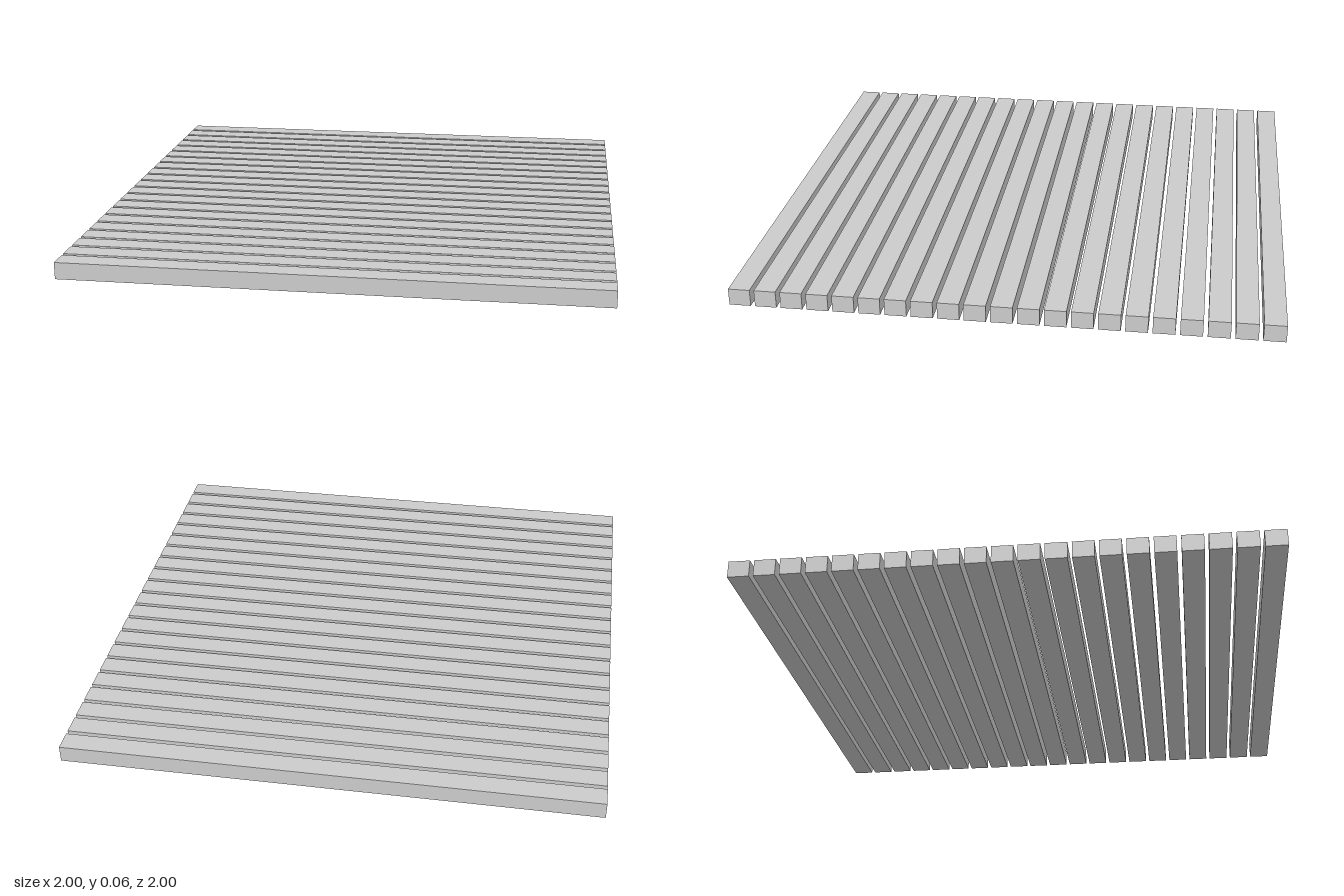
import * as THREE from 'three';

const COUNT = 21, LENGTH = 2, HEIGHT = 0.064, WIDTH = 0.08, PITCH = 0.096;

export function createModel() {
  const deck = new THREE.Group();
  deck.name = 'slattedDeck';
  const material = new THREE.MeshStandardMaterial({ color: 0xcccccc });
  const board = new THREE.BoxGeometry(LENGTH, HEIGHT, WIDTH);

  // Parallel slats along x, evenly spaced from back to front with narrow gaps
  for (let i = 0; i < COUNT; i++) {
    const slat = new THREE.Mesh(board, material);
    slat.name = `slat${i + 1}`;
    slat.position.set(0, HEIGHT / 2, (i - (COUNT - 1) / 2) * PITCH);
    deck.add(slat);
  }
  return deck;
}
